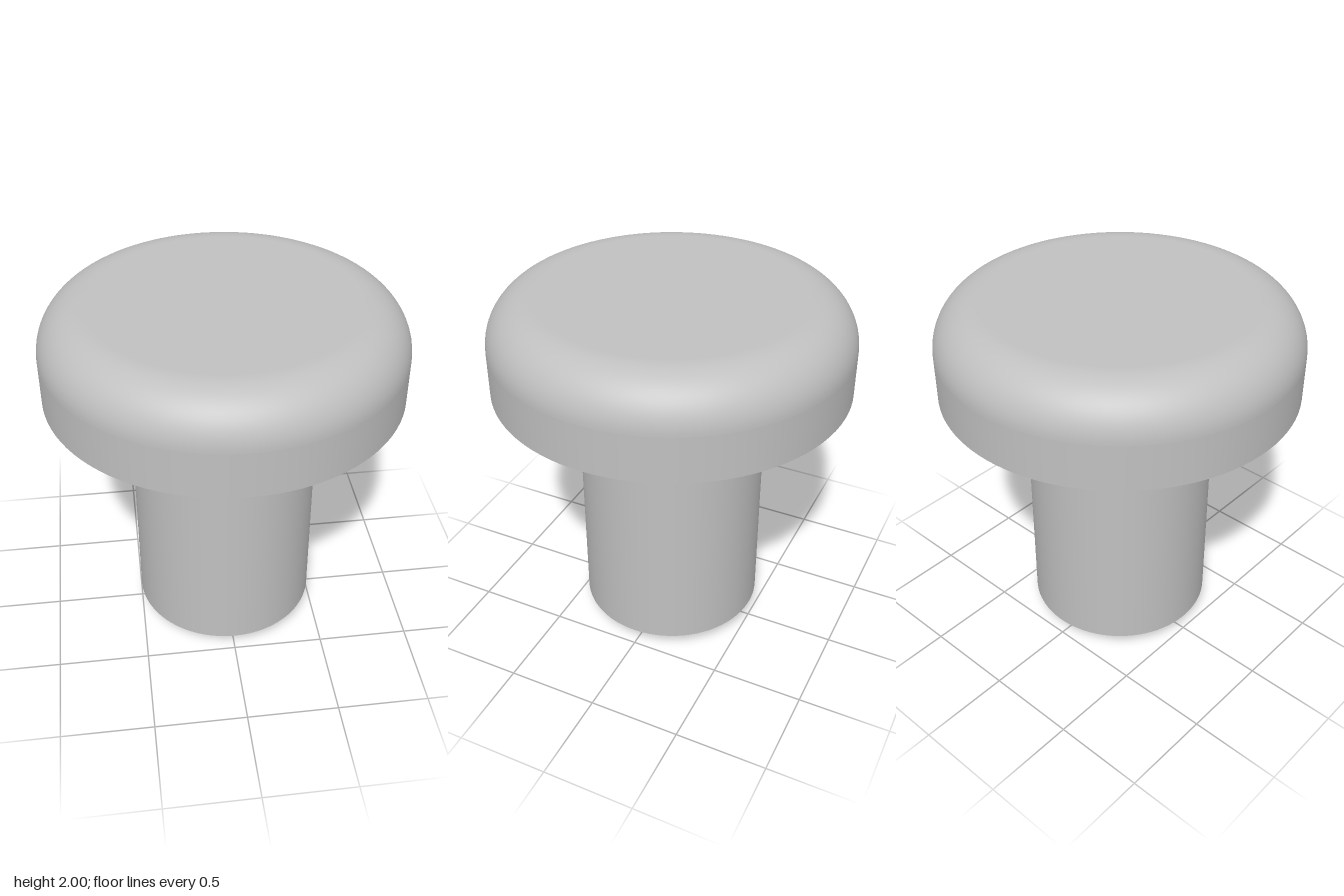
import * as THREE from 'three';
import { mergeGeometries } from 'three/addons/utils/BufferGeometryUtils.js';

const SEGMENTS = 96;

// Each section is a [radius, height] profile; edges between sections stay sharp.
function turned(name, sections, material) {
  const parts = sections.map((points) =>
    new THREE.LatheGeometry(points.map(([r, y]) => new THREE.Vector2(r, y)), SEGMENTS));
  const mesh = new THREE.Mesh(mergeGeometries(parts), material);
  mesh.name = name;
  return mesh;
}

export function createModel() {
  const group = new THREE.Group();
  group.name = 'roundHeadPin';
  const metal = new THREE.MeshStandardMaterial({ color: 0xc0c0c0 });
  metal.name = 'grey metal';

  const headRadius = 0.95, headBase = 1.5, top = 2, round = 0.25;
  const shankRadius = 0.5, tipHeight = 0.1, tipRadius = 0.06;

  // Quarter-circle rounding on the upper edge of the head
  const rounding = [];
  for (let i = 0; i <= 20; i++) {
    const a = (i / 20) * Math.PI / 2;
    rounding.push([headRadius - round + round * Math.cos(a), top - round + round * Math.sin(a)]);
  }

  // Head: underside, wall, rounded edge and flat top
  group.add(turned('head', [
    [[shankRadius, headBase], [headRadius, headBase]],
    [[headRadius, headBase], [headRadius, top - round]],
    rounding,
    [[headRadius - round, top], [0, top]],
  ], metal));

  // Straight cylindrical shank
  group.add(turned('shank', [
    [[shankRadius, tipHeight], [shankRadius, headBase]],
  ], metal));

  // Shallow tapered tip with a small flat end
  group.add(turned('tip', [
    [[0, 0], [tipRadius, 0]],
    [[tipRadius, 0], [shankRadius, tipHeight]],
  ], metal));

  return group;
}
